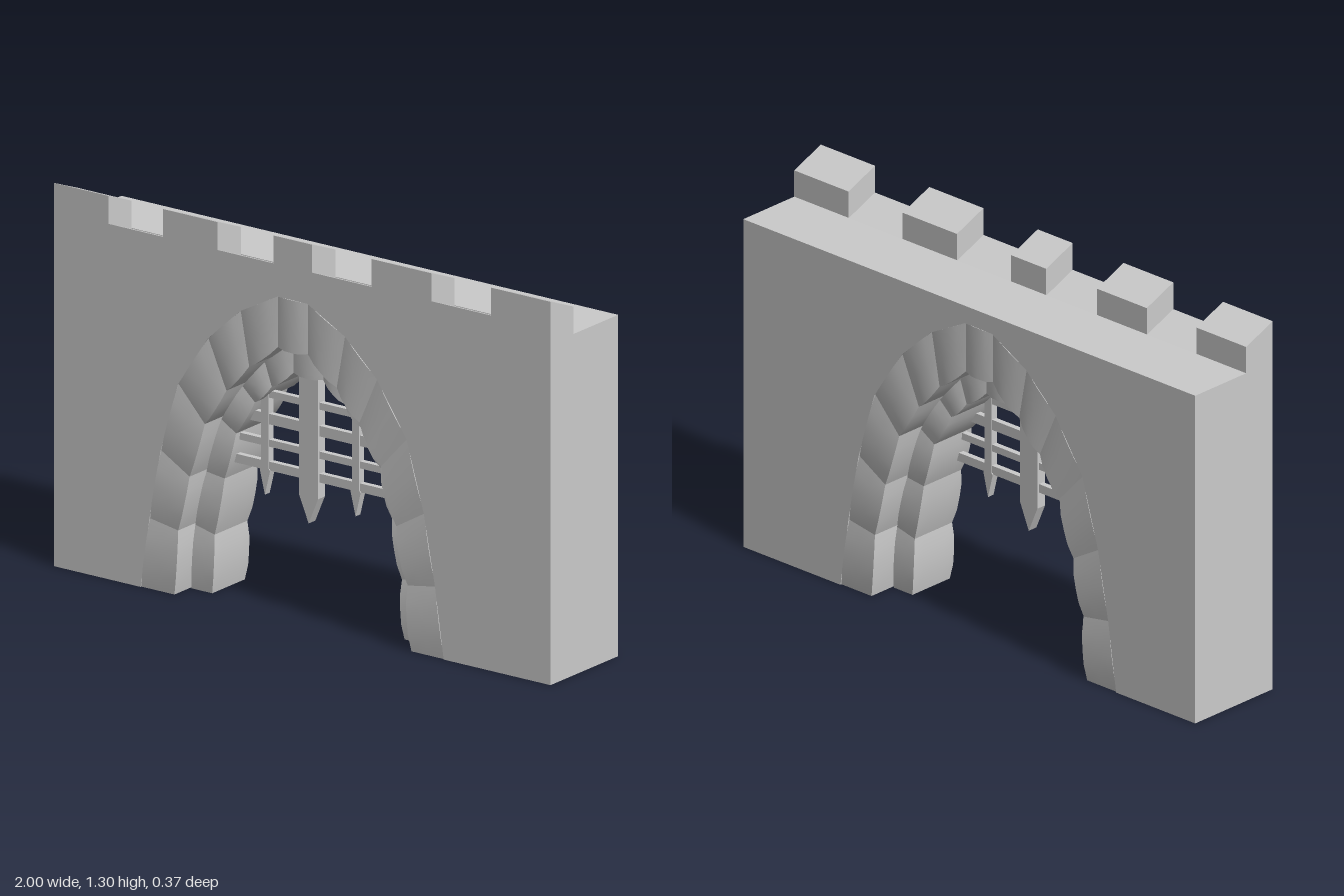
import * as THREE from 'three';

const FRONT = 0.18, BACK = -0.185, LEDGE = 0.055, CX = -0.04;

// Half arch profiles (distance from the arch axis, height), from foot to crown
const OUTER = [[0.61, 0], [0.575, 0.24], [0.53, 0.48], [0.46, 0.72], [0.34, 0.9], [0.21, 1.02], [0.06, 1.1]];
const MIDDLE = [[0.47, 0], [0.455, 0.22], [0.41, 0.41], [0.35, 0.6], [0.265, 0.73], [0.175, 0.83], [0.06, 0.92]];
const INNER = [[0.38, 0], [0.37, 0.2], [0.33, 0.4], [0.285, 0.56], [0.21, 0.68], [0.145, 0.745], [0.06, 0.81]];

// Whole arch from the right foot over the crown to the left foot
const fullArch = (half) => [
  ...half.map(([x, y]) => new THREE.Vector2(CX + x, y)),
  ...half.slice().reverse().map(([x, y]) => new THREE.Vector2(CX - x, y)),
];

const material = new THREE.MeshStandardMaterial({ color: 0xcccccc });

function addMesh(group, name, geometry) {
  const mesh = new THREE.Mesh(geometry, material);
  mesh.name = name;
  group.add(mesh);
  return mesh;
}

// Wall slab with the arch cut out; topLine runs from right to left
function slab(topLine, z0, z1) {
  const shape = new THREE.Shape([
    ...fullArch(OUTER).reverse(),
    new THREE.Vector2(1, 0),
    ...topLine.map(([x, y]) => new THREE.Vector2(x, y)),
    new THREE.Vector2(-1, 0),
  ]);
  const g = new THREE.ExtrudeGeometry(shape, { depth: z1 - z0, bevelEnabled: false });
  return g.translate(0, 0, z0);
}

// One wedge stone between two profiles, pinched at its joints
function stone(in0, in1, out0, out1, z0, z1) {
  const g = new THREE.BoxGeometry(1, 1, 1, 2, 4, 4);
  const p = g.attributes.position;
  const a = new THREE.Vector2(), b = new THREE.Vector2();
  for (let i = 0; i < p.count; i++) {
    const v = p.getY(i) + 0.5;
    const pinch = 0.012 * Math.pow(Math.abs(2 * v - 1), 3);
    const w = p.getZ(i) * 2;
    a.lerpVectors(in0, in1, v);
    b.lerpVectors(out0, out1, v);
    const across = b.clone().sub(a);
    a.addScaledVector(across, pinch * 0.6 / across.length());
    a.lerp(b, p.getX(i) + 0.5);
    const z = (z0 + z1) / 2 + w * ((z1 - z0) / 2 - pinch * 0.6);
    p.setXYZ(i, a.x, Math.max(a.y, 0), z);
  }
  g.computeVertexNormals();
  return g;
}

function stoneArch(name, innerHalf, outerHalf, z0, z1) {
  const group = new THREE.Group();
  group.name = name;
  const a = fullArch(innerHalf), b = fullArch(outerHalf);
  for (let i = 0; i < a.length - 1; i++) {
    addMesh(group, 'archStone', stone(a[i], a[i + 1], b[i], b[i + 1], z0, z1));
  }
  return group;
}

// Upright bar ending in a point
function spikedBar(x, halfWidth, top, shoulder, tip, depth, flare) {
  const f = halfWidth + flare;
  const shape = new THREE.Shape([
    [-halfWidth, top], [-halfWidth, shoulder + flare], [-f, shoulder], [0, tip],
    [f, shoulder], [halfWidth, shoulder + flare], [halfWidth, top],
  ].map(([u, y]) => new THREE.Vector2(x + u, y)));
  return new THREE.ExtrudeGeometry(shape, { depth, bevelEnabled: false }).translate(0, 0, 0.06 - depth / 2);
}

export function createModel() {
  const model = new THREE.Group();
  model.name = 'gatehouseWall';

  // Main wall with the walkway on top
  addMesh(model, 'wall', slab([[1, 1.162], [-1, 1.162]], BACK, LEDGE));

  // Battlements: merlons and gaps, tops sloping down to the walkway
  const merlons = [[1, 0.76], [0.52, 0.28], [0.04, -0.115], [-0.34, -0.56], [-0.78, -1]];
  const topLine = [];
  merlons.forEach(([r, l], i) => {
    if (i > 0) topLine.push([r, 1.21]);
    topLine.push([r, 1.305], [l, 1.305]);
    if (i < merlons.length - 1) topLine.push([l, 1.21]);
  });
  const parapet = slab(topLine, LEDGE, FRONT);
  const p = parapet.attributes.position;
  for (let i = 0; i < p.count; i++) {
    if (p.getY(i) > 1.15 && p.getZ(i) < LEDGE + 0.01) p.setY(i, p.getY(i) - 0.05);
  }
  parapet.computeVertexNormals();
  addMesh(model, 'battlements', parapet);

  // Two stepped rings of arch stones
  model.add(stoneArch('outerArch', MIDDLE, OUTER, BACK - 0.002, FRONT + 0.003));
  model.add(stoneArch('innerArch', INNER, MIDDLE, -0.09, 0.1));

  // Portcullis
  const gate = new THREE.Group();
  gate.name = 'portcullis';
  addMesh(gate, 'centreBar', spikedBar(-0.05, 0.038, 0.85, 0.4, 0.31, 0.036, 0));
  for (const x of [-0.23, 0.135]) {
    addMesh(gate, 'sideBar', spikedBar(x, 0.015, 0.73, 0.455, 0.37, 0.026, 0.006));
  }
  for (const [y, h, half] of [[0.715, 0.024, 0.2], [0.63, 0.036, 0.25], [0.548, 0.024, 0.3], [0.47, 0.03, 0.32]]) {
    const bar = addMesh(gate, 'crossBar', new THREE.BoxGeometry(half * 2, h, 0.02));
    bar.position.set(CX, y, 0.06);
  }
  model.add(gate);

  return model;
}
